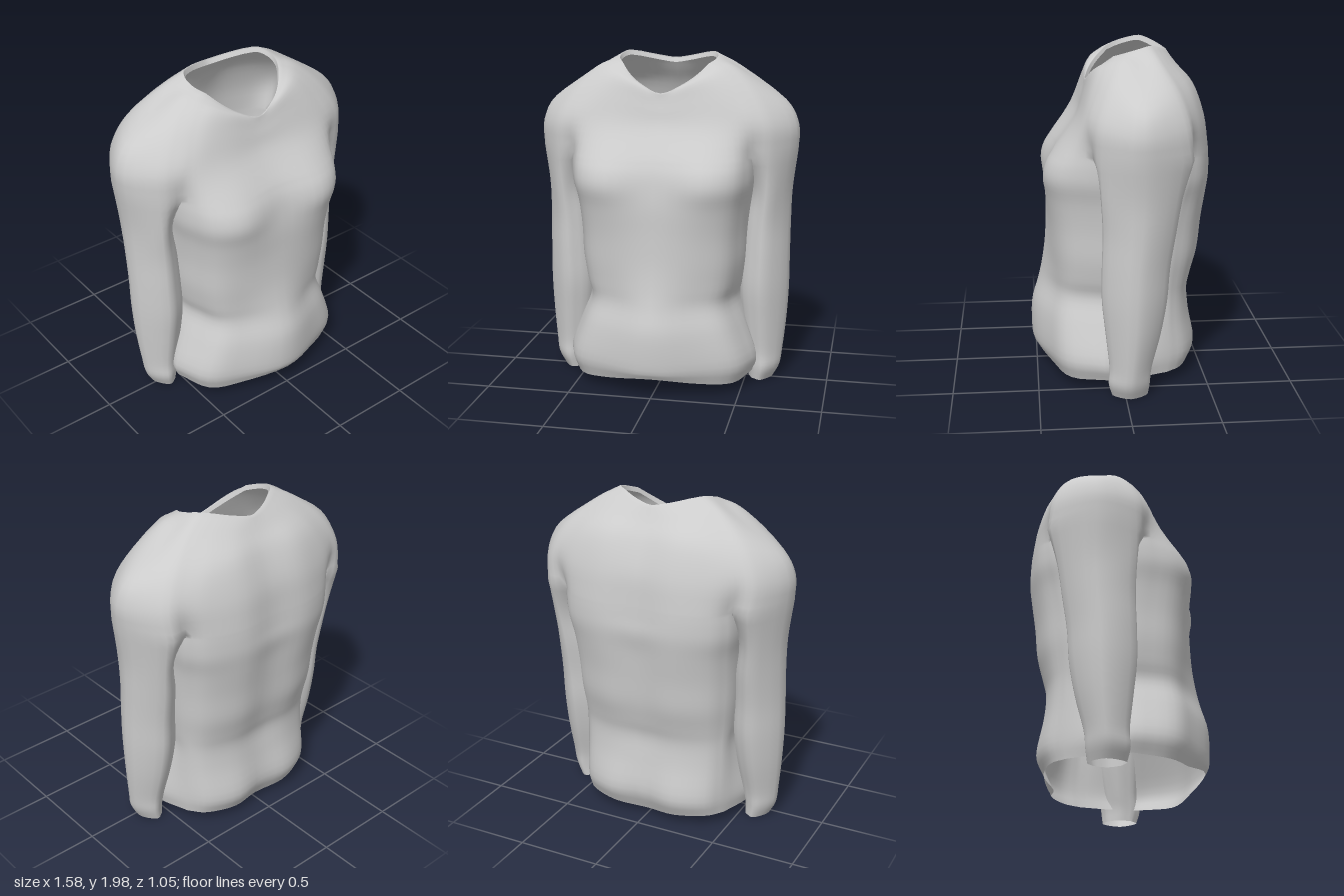
import * as THREE from 'three';
import { mergeVertices } from 'three/addons/utils/BufferGeometryUtils.js';

const V = (x, y, z) => new THREE.Vector3(x, y, z);
const flip = (p) => V(-p.x, p.y, p.z);

// Smooth curve through the keys, K steps per span; before/after steer the ends
const K = 4;
function spline(keys, before, after) {
  const n = keys.length;
  const p = [
    before || keys[0].clone().multiplyScalar(2).sub(keys[1]),
    ...keys,
    after || keys[n - 1].clone().multiplyScalar(2).sub(keys[n - 2]),
  ];
  const out = [];
  for (let i = 1; i < n; i++) {
    for (let j = 0; j < K; j++) {
      const t = j / K;
      const f = (a) => {
        const [q0, q1, q2, q3] = [p[i - 1][a], p[i][a], p[i + 1][a], p[i + 2][a]];
        return q1 + 0.5 * t * (q2 - q0 + t * (2 * q0 - 5 * q1 + 4 * q2 - q3 + t * (3 * (q1 - q2) + q3 - q0)));
      };
      out.push(V(f('x'), f('y'), f('z')));
    }
  }
  out.push(keys[n - 1].clone());
  return out;
}

// Pieces of a cross-section, all meeting at the front and back armpit points
const frontArc = (k) => spline(k, flip(k[1]));
const backArc = (k) => spline(k, null, flip(k[k.length - 2]));
const join = (...arcs) => arcs.flatMap((a, i) => (i ? a.slice(1) : a));

// Half neck and shoulder sections: front centre, round the shoulder, to back centre
const yokeRows = [
  [0, 1.78, .19, .12, 1.83, .16, .2, 1.885, .11, .26, 1.945, .04, .29, 1.965, -.02, .295, 1.985, -.09,
    .265, 2, -.16, .2, 1.99, -.21, .14, 1.975, -.245, .07, 1.96, -.275, 0, 1.95, -.292],
  [0, 1.74, .197, .16, 1.82, .18, .28, 1.875, .14, .36, 1.9, .08, .42, 1.915, 0, .46, 1.89, -.11,
    .41, 1.92, -.2, .35, 1.915, -.25, .26, 1.905, -.295, .15, 1.885, -.335, 0, 1.875, -.34],
  [0, 1.68, .215, .2, 1.74, .205, .36, 1.76, .185, .47, 1.77, .14, .57, 1.77, .07, .71, 1.72, -.09,
    .59, 1.77, -.27, .48, 1.77, -.34, .36, 1.78, -.39, .2, 1.78, -.425, 0, 1.77, -.41],
  [0, 1.58, .25, .25, 1.59, .26, .42, 1.6, .24, .54, 1.6, .2, .66, 1.6, .125, .785, 1.58, -.08,
    .67, 1.6, -.32, .56, 1.6, -.38, .43, 1.6, -.44, .22, 1.6, -.49, 0, 1.6, -.475],
];

// Torso: y, front half width, back half width, front centre z, bust z,
// side front z, side back z, back z, spine z
const torsoRows = [
  [1.42, .55, .55, .355, .38, .18, -.36, -.515, -.495],
  [1.34, .555, .555, .39, .43, .18, -.35, -.52, -.50],
  [1.25, .55, .55, .41, .45, .18, -.34, -.52, -.505],
  [1.13, .525, .53, .425, .43, .16, -.31, -.505, -.485],
  [.97, .51, .52, .43, .41, .14, -.28, -.482, -.468],
  [.8, .505, .51, .44, .40, .13, -.27, -.465, -.45],
  [.66, .485, .495, .46, .395, .12, -.26, -.43, -.42],
  [.55, .46, .485, .485, .40, .12, -.26, -.408, -.395],
  [.4, .52, .485, .525, .43, .12, -.26, -.42, -.41],
  [.2, .595, .485, .525, .43, .12, -.27, -.455, -.43],
  [.09, .565, .475, .50, .40, .10, -.26, -.41, -.375],
];

// Sleeve: y, inner x, outer x, front z, back z
const sleeveRows = [
  [1.2, .49, .755, .135, -.31],
  [1.0, .46, .75, .125, -.28],
  [.8, .445, .75, .13, -.25],
  [.6, .435, .75, .13, -.235],
  [.4, .455, .74, .11, -.20],
  [.2, .49, .72, .09, -.15],
  [.1, .51, .705, .095, -.14],
  [.02, .515, .665, .075, -.13],
];

function torsoKeys([y, w, wb, f0, f1, sf, sb, b1, b0], hem) {
  const lift = hem ? [.05, .005, -.01, 0, 0, 0, 0, -.01, -.03] : Array(9).fill(0);
  return [
    [0, f0], [.5 * w, f1], [.82 * w, sf + (f1 - sf) * .68], [.97 * w, sf],
    [(w + wb) / 2, (sf + sb) / 2],
    [.97 * wb, sb], [.8 * wb, sb + (b1 - sb) * .62], [.42 * wb, b1], [0, b0],
  ].map(([x, z], i) => V(x, y + lift[i], z));
}

function sleeveKeys([y, a, b, f, k]) {
  const d = b - a, h = f - k, m = (f + k) / 2;
  return [
    V(a + .17 * d, y, f - .13 * h), V(a + .58 * d, y, f), V(b, y, m),
    V(a + .58 * d, y, k), V(a + .17 * d, y, k + .13 * h), V(a, y, m),
  ];
}

// Triangles of a surface lofted down through the rings, optionally mirrored
function loft(rings, mirror) {
  const cols = rings[0].map((_, c) => spline(rings.map((r) => r[c])));
  const out = [];
  const tri = (a, b, c) => {
    const t = mirror ? [flip(a), flip(c), flip(b)] : [a, b, c];
    t.forEach((p) => out.push(p.x, p.y, p.z));
  };
  for (let c = 0; c < cols.length - 1; c++) {
    for (let r = 0; r < cols[0].length - 1; r++) {
      const [a, b, d, e] = [cols[c][r], cols[c][r + 1], cols[c + 1][r + 1], cols[c + 1][r]];
      tri(a, b, d);
      tri(a, d, e);
    }
  }
  return out;
}

export function createModel() {
  const fabric = new THREE.MeshStandardMaterial({ color: 0xcccccc });
  fabric.name = 'greyFabric';
  fabric.side = THREE.DoubleSide;

  // Armpit level, where the shoulders divide into torso and sleeves
  const pit = torsoKeys(torsoRows[0]);
  const pitSleeve = [pit[3], V(.66, 1.42, .14), V(.783, 1.43, -.08), V(.66, 1.42, -.355), pit[5], pit[4]];

  const yoke = yokeRows.map((row) => {
    const p = [];
    for (let i = 0; i < row.length; i += 3) p.push(V(row[i], row[i + 1], row[i + 2]));
    return join(frontArc(p.slice(0, 4)), spline(p.slice(3, 8)), backArc(p.slice(7)));
  });
  yoke.push(join(frontArc(pit.slice(0, 4)), spline(pitSleeve.slice(0, 5)), backArc(pit.slice(5))));

  const torso = torsoRows.map((row, i) => {
    const p = torsoKeys(row, i === torsoRows.length - 1);
    return join(frontArc(p.slice(0, 4)), spline(p.slice(3, 6)), backArc(p.slice(5)));
  });

  const sleeve = [pitSleeve, ...sleeveRows.map(sleeveKeys)].map((p) =>
    join(spline(p.slice(0, 5)), spline([p[4], p[5], p[0]])));

  // Narrow facing turned in behind the neckline
  const facing = [yoke[0].map((p) => V(p.x * .97, p.y - .03, p.z * .94)), yoke[0]];

  const parts = {
    shoulders: [...loft(yoke, false), ...loft(yoke, true)],
    torso: [...loft(torso, false), ...loft(torso, true)],
    leftSleeve: loft(sleeve, false),
    rightSleeve: loft(sleeve, true),
    neckFacing: [...loft(facing, false), ...loft(facing, true)],
  };

  // Weld everything for shared smooth normals, then separate the named parts
  let whole = new THREE.BufferGeometry();
  whole.setAttribute('position', new THREE.Float32BufferAttribute(Object.values(parts).flat(), 3));
  whole = mergeVertices(whole, 1e-4);
  whole.computeVertexNormals();
  const index = Array.from(whole.index.array);

  const group = new THREE.Group();
  group.name = 'shirt';
  let start = 0;
  for (const [name, data] of Object.entries(parts)) {
    const count = data.length / 3;
    const geometry = whole.clone().setIndex(index.slice(start, start + count)).toNonIndexed();
    start += count;
    const mesh = new THREE.Mesh(geometry, fabric);
    mesh.name = name;
    group.add(mesh);
  }
  return group;
}
